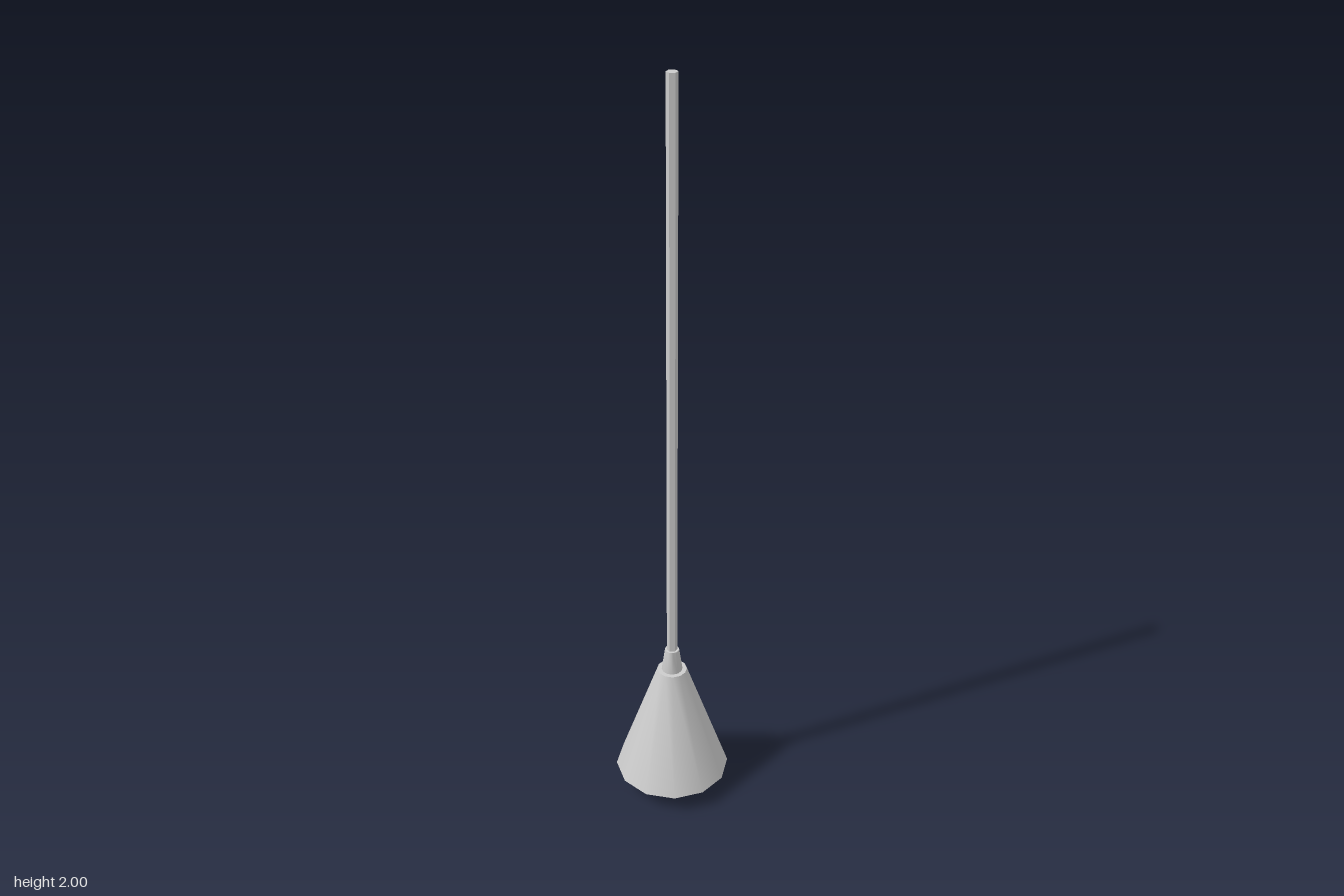
import * as THREE from 'three';
import { toCreasedNormals } from 'three/addons/utils/BufferGeometryUtils.js';

export function createModel() {
  const model = new THREE.Group();
  model.name = 'pendantLamp';
  const grey = new THREE.MeshStandardMaterial({ color: 0xcccccc });

  // Turns a profile of [radius, height] points, listed counterclockwise
  const turn = (name, profile, sides) => {
    const points = profile.map(([r, y]) => new THREE.Vector2(r, y));
    const geometry = toCreasedNormals(new THREE.LatheGeometry(points, sides), 0.7);
    const mesh = new THREE.Mesh(geometry, grey);
    mesh.name = name;
    model.add(mesh);
  };

  // Long six-sided hanging rod
  turn('rod', [[0, 0.37], [0.014, 0.37], [0.014, 2], [0, 2]], 6);

  // Tapered collar between rod and shade
  turn('collar', [[0, 0.36], [0.028, 0.36], [0.028, 0.375], [0.019, 0.44], [0, 0.44]], 12);

  // Conical shade with a thick wall, open below
  turn('shade', [
    [0.132, 0.05], [0.154, 0.05], [0.04, 0.375], [0, 0.375],
    [0, 0.355], [0.026, 0.355], [0.132, 0.05],
  ], 12);

  // Socket holding the bulb inside the shade
  turn('socket', [[0, 0.15], [0.025, 0.15], [0.025, 0.357], [0, 0.357]], 12);

  // Round bulb peeking out under the rim
  const bulb = new THREE.Mesh(new THREE.SphereGeometry(0.087, 12, 6), grey);
  bulb.name = 'bulb';
  bulb.position.y = 0.087;
  model.add(bulb);

  return model;
}
